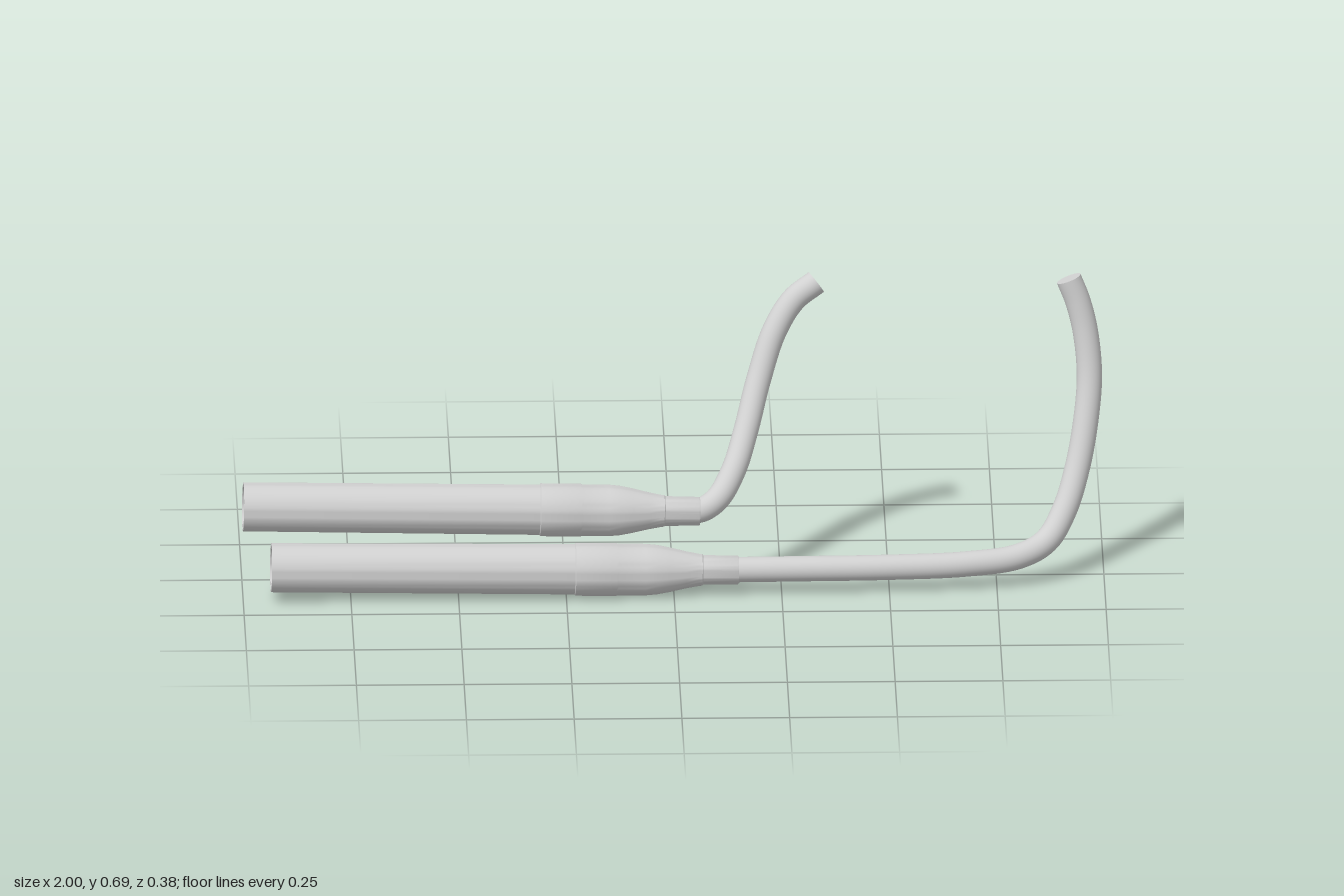
import * as THREE from 'three';
import { toCreasedNormals } from 'three/addons/utils/BufferGeometryUtils.js';

const UP = new THREE.Vector3(0, 1, 0);
const FORWARD = new THREE.Vector3(0, 0, 1);

// Silencer profile as [radius, fraction of length]: inner wall, rear rim, shell, clamp band, cone, collar
const PROFILE = [
  [0.0, 0.64], [0.05, 0.64], [0.052, 0.0], [0.057, 0.0],
  [0.0585, 0.649], [0.0615, 0.651], [0.0615, 0.738], [0.0600, 0.742],
  [0.0600, 0.800], [0.0575, 0.825], [0.052, 0.852], [0.043, 0.888], [0.0375, 0.915],
  [0.0365, 0.922], [0.0345, 0.924], [0.0335, 0.998], [0.0325, 1.0], [0.0, 1.0],
];

function makeSilencer(name, start, end, material) {
  const a = new THREE.Vector3(...start);
  const axis = new THREE.Vector3(...end).sub(a);
  const length = axis.length();
  const points = PROFILE.map(([r, t]) => new THREE.Vector2(r, t * length));
  const geometry = toCreasedNormals(new THREE.LatheGeometry(points, 48), 0.5);
  const mesh = new THREE.Mesh(geometry, material);
  mesh.name = name;
  mesh.position.copy(a);
  mesh.quaternion.setFromUnitVectors(UP, axis.normalize());
  return mesh;
}

function makePipe(name, path, radius, material) {
  const group = new THREE.Group();
  group.name = name;
  const curve = new THREE.CatmullRomCurve3(path.map((p) => new THREE.Vector3(...p)), false, 'centripetal');
  const tube = new THREE.Mesh(new THREE.TubeGeometry(curve, 120, radius, 32), material);
  tube.name = name + 'Tube';
  // Flat closing disc at the engine end
  const cap = new THREE.Mesh(new THREE.CircleGeometry(radius, 32), material);
  cap.name = name + 'EndCap';
  cap.position.copy(curve.getPointAt(1));
  cap.quaternion.setFromUnitVectors(FORWARD, curve.getTangentAt(1));
  group.add(tube, cap);
  return group;
}

export function createModel() {
  const model = new THREE.Group();
  model.name = 'twinExhaust';
  const metal = new THREE.MeshStandardMaterial({ color: 0xd0d0d0 });
  metal.name = 'light grey metal';

  model.add(makeSilencer('upperSilencer', [-1, 0.231, 0.136], [0.06, 0.205, 0.115], metal));
  model.add(makeSilencer('lowerSilencer', [-0.935, 0.081, 0.136], [0.15, 0.06, 0.115], metal));

  // Short S-bend header
  model.add(makePipe('upperPipe', [
    [0.03, 0.205, 0.116], [0.065, 0.208, 0.112], [0.102, 0.229, 0.094], [0.14, 0.283, 0.048],
    [0.17, 0.36, -0.013], [0.2, 0.46, -0.075], [0.238, 0.565, -0.12],
    [0.283, 0.632, -0.147], [0.336, 0.67, -0.162],
  ], 0.029, metal));

  // Long header sweeping up and back
  model.add(makePipe('lowerPipe', [
    [0.12, 0.061, 0.115], [0.3, 0.062, 0.114], [0.5, 0.062, 0.108], [0.68, 0.064, 0.094],
    [0.8, 0.074, 0.072], [0.865, 0.1, 0.04], [0.908, 0.16, -0.003],
    [0.94, 0.25, -0.053], [0.96, 0.35, -0.093], [0.969, 0.45, -0.125],
    [0.96, 0.55, -0.147], [0.943, 0.62, -0.157], [0.922, 0.674, -0.162],
  ], 0.0295, metal));

  return model;
}
